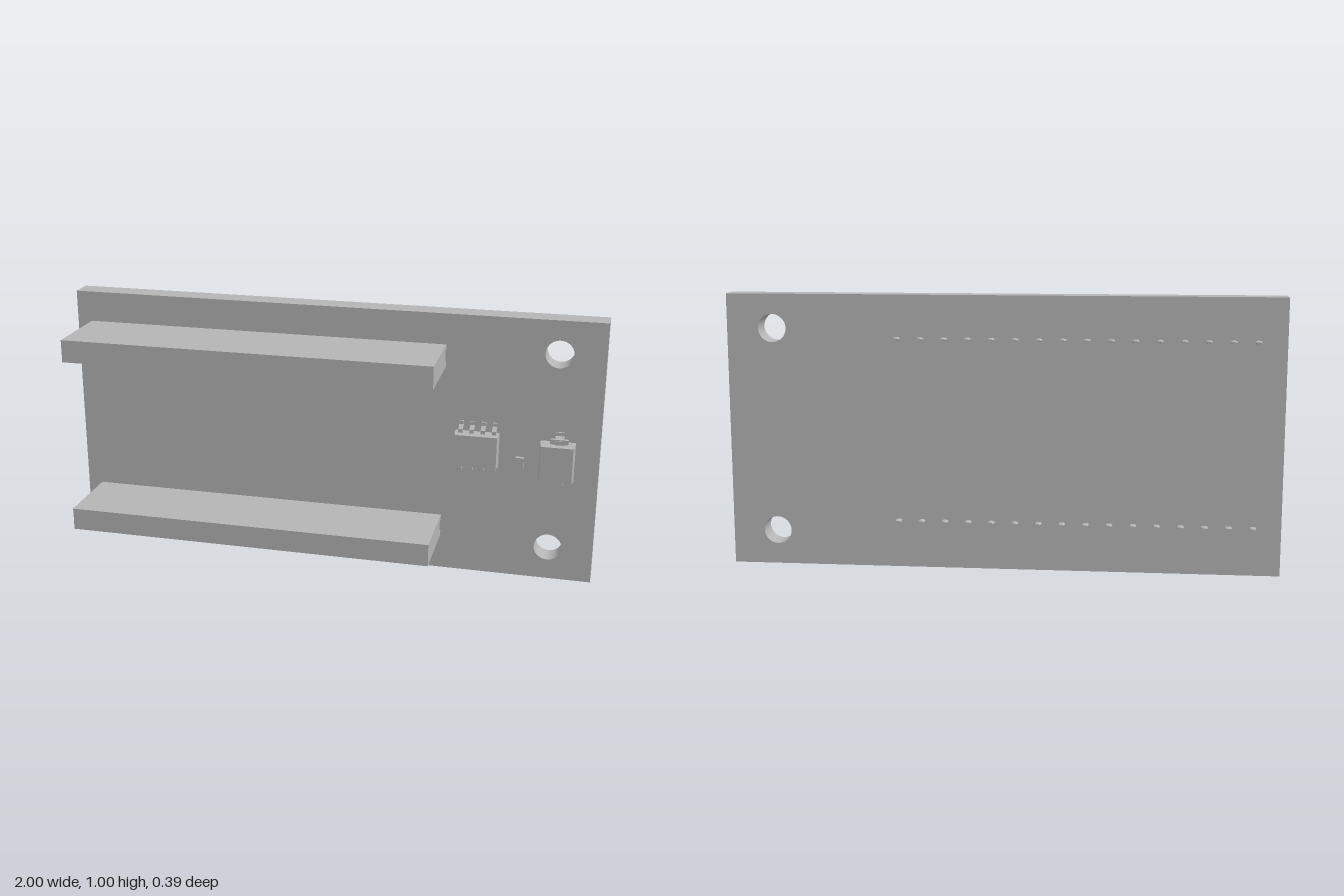
import * as THREE from 'three';

const BOARD_BACK = -0.17, BOARD_FRONT = -0.085;

export function createModel() {
  const model = new THREE.Group();
  model.name = 'circuitBoard';
  const grey = new THREE.MeshStandardMaterial({ color: 0xb4b4b4 });
  grey.name = 'plain grey';

  const add = (name, geometry, parent = model) => {
    const mesh = new THREE.Mesh(geometry, grey);
    mesh.name = name;
    parent.add(mesh);
    return mesh;
  };
  const group = (name) => {
    const g = new THREE.Group();
    g.name = name;
    model.add(g);
    return g;
  };
  // Side profile given as [z, y] points, extruded along x from x0 to x1
  const extrudeX = (points, x0, x1) => {
    const shape = new THREE.Shape(points.map(([z, y]) => new THREE.Vector2(-z, y)));
    return new THREE.ExtrudeGeometry(shape, { depth: x1 - x0, bevelEnabled: false })
      .rotateY(Math.PI / 2).translate(x0, 0, 0);
  };
  // Moulded package whose front face is slightly smaller than its widest line
  const packageBody = (x0, x1, y0, y1, z0, z1, inset) => {
    const g = new THREE.BoxGeometry(x1 - x0, y1 - y0, z1 - z0, 1, 1, 2);
    const p = g.attributes.position;
    for (let i = 0; i < p.count; i++) {
      if (p.getZ(i) > 0.001) {
        p.setX(i, p.getX(i) - Math.sign(p.getX(i)) * inset);
        p.setY(i, p.getY(i) - Math.sign(p.getY(i)) * inset);
      }
    }
    g.computeVertexNormals();
    const flat = g.toNonIndexed();
    flat.computeVertexNormals();
    return flat.translate((x0 + x1) / 2, (y0 + y1) / 2, (z0 + z1) / 2);
  };
  // Bent lead leaving a package at height y, with its foot on the board
  const gullLead = (x, width, y, dir, reach, top) => {
    const t = 0.008, foot = BOARD_FRONT;
    const profile = [
      [top, -0.01], [top, reach * 0.35], [foot + t, reach * 0.65], [foot + t, reach],
      [foot, reach], [foot, reach * 0.5], [top - t, reach * 0.2], [top - t, -0.01],
    ].map(([z, d]) => [z, y + dir * d]);
    return extrudeX(profile, x - width / 2, x + width / 2);
  };

  // Board with two mounting holes
  const outline = new THREE.Shape();
  outline.moveTo(-1, 0).lineTo(1, 0).lineTo(1, 1).lineTo(-1, 1).closePath();
  for (const y of [0.127, 0.876]) {
    outline.holes.push(new THREE.Path().absarc(0.835, y, 0.051, 0, Math.PI * 2, true));
  }
  add('board', new THREE.ExtrudeGeometry(outline, {
    depth: BOARD_FRONT - BOARD_BACK, bevelEnabled: false, curveSegments: 24,
  }).translate(0, 0, BOARD_BACK));

  // Two long headers, each with a channel underneath and a row of pins
  for (const [side, y] of [['lower', 0.175], ['upper', 0.843]]) {
    const header = group(side + 'Header');
    const h = 0.042, c = 0.022;
    add('headerBody', extrudeX([
      [BOARD_FRONT, y - h], [0.197, y - h], [0.197, y + h], [BOARD_FRONT, y + h],
      [BOARD_FRONT, y + c], [-0.065, y + c], [-0.065, y - c], [BOARD_FRONT, y - c],
    ], -0.945, 0.43), header);
    for (let i = 0; i < 16; i++) {
      const x = -0.898 + i * 0.0852;
      const pin = add('pin', new THREE.CylinderGeometry(0.013, 0.013, 0.115, 12), header);
      pin.rotation.x = -Math.PI / 2;
      pin.scale.z = 0.46;
      pin.position.set(x, y, -0.1225);
      const tip = add('pinTip', new THREE.CylinderGeometry(0.008, 0.013, 0.017, 12), header);
      tip.rotation.x = -Math.PI / 2;
      tip.scale.z = 0.46;
      tip.position.set(x, y, -0.1885);
    }
  }

  // Eight-lead chip
  const chip = group('chip');
  add('chipBody', packageBody(0.475, 0.637, 0.437, 0.565, -0.08, -0.032, 0.004), chip);
  for (let i = 0; i < 4; i++) {
    const x = 0.496 + i * 0.041;
    add('chipLead', gullLead(x, 0.016, 0.565, 1, 0.037, -0.052), chip);
    add('chipLead', gullLead(x, 0.016, 0.437, -1, 0.037, -0.052), chip);
  }

  // Small surface-mounted block
  add('smallBlock', new THREE.BoxGeometry(0.03, 0.05, 0.016).translate(0.714, 0.453, -0.077));

  // Two-ended diode package
  const diode = group('diode');
  add('diodeBody', packageBody(0.787, 0.913, 0.406, 0.55, -0.081, -0.026, 0.005), diode);
  add('diodeLead', gullLead(0.85, 0.05, 0.406, -1, 0.036, -0.046), diode);
  add('diodeLead', gullLead(0.855, 0.032, 0.55, 1, 0.036, -0.046), diode);
  add('diodeLeadCollar', new THREE.BoxGeometry(0.066, 0.018, 0.012).translate(0.855, 0.559, -0.054), diode);

  return model;
}
